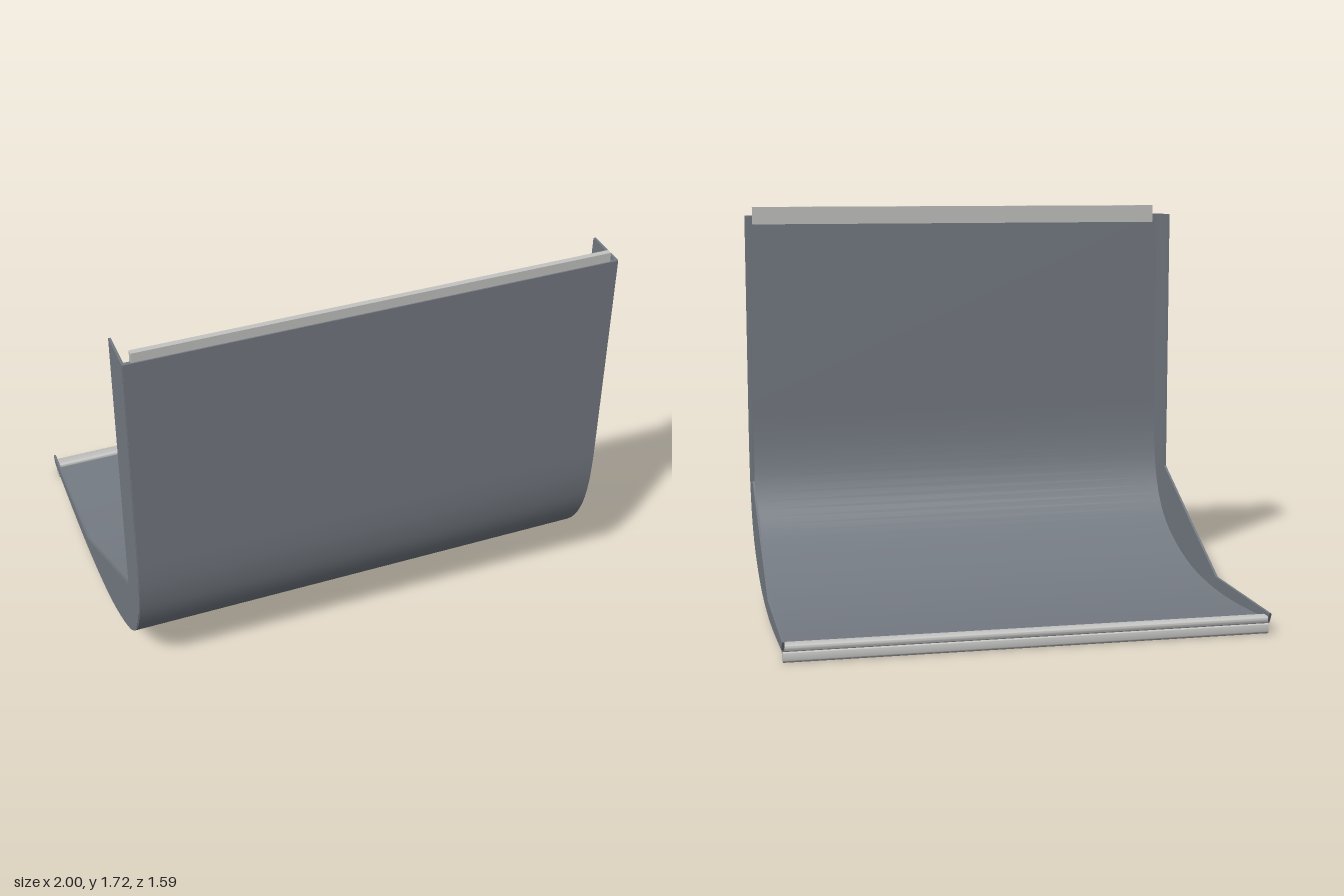
import * as THREE from 'three';
import { toCreasedNormals } from 'three/addons/utils/BufferGeometryUtils.js';

const panelGrey = new THREE.MeshStandardMaterial({ color: 0x757b83 });
panelGrey.name = 'panelGrey';
const trimGrey = new THREE.MeshStandardMaterial({ color: 0xc4c5c3 });
trimGrey.name = 'trimGrey';

// Extrudes a side profile of [z, y] points across x, from x0 to x1
function slab(name, points, x0, x1, material) {
  const shape = new THREE.Shape(points.map(([z, y]) => new THREE.Vector2(-z, y)));
  let geometry = new THREE.ExtrudeGeometry(shape, { depth: x1 - x0, bevelEnabled: false });
  geometry.rotateY(Math.PI / 2).translate(x0, 0, 0);
  geometry = toCreasedNormals(geometry, 0.6);
  const mesh = new THREE.Mesh(geometry, material);
  mesh.name = name;
  return mesh;
}

// Rectangle in the z-y plane with rounded corners
function roundedProfile(z0, z1, y0, y1, r) {
  const points = [];
  const corners = [[z1 - r, y1 - r], [z0 + r, y1 - r], [z0 + r, y0 + r], [z1 - r, y0 + r]];
  corners.forEach(([z, y], i) => {
    for (let k = 0; k <= 5; k++) {
      const a = (i + k / 5) * Math.PI / 2;
      points.push([z + r * Math.cos(a), y + r * Math.sin(a)]);
    }
  });
  return points;
}

export function createModel() {
  const group = new THREE.Group();
  group.name = 'curvedPanel';

  // Outer curve of the bent sheet, from the upright down and back
  const bend = new THREE.CatmullRomCurve3([
    [0.795, 0.8], [0.794, 0.68], [0.784, 0.55], [0.755, 0.42], [0.692, 0.295], [0.59, 0.195],
    [0.4, 0.105], [0.2, 0.052], [0, 0.027], [-0.2, 0.018], [-0.4, 0.022], [-0.6, 0.034], [-0.777, 0.046],
  ].map(([z, y]) => new THREE.Vector3(0, y, z)));
  const steps = 40;
  const outer = [[0.795, 1.68]];
  const offset = (t, d) => {
    const p = bend.getPoint(t), v = bend.getTangent(t);
    return [p.z + v.y * d, p.y - v.z * d];
  };
  const inner = [[0.779, 1.68]], middle = [[0.789, 1.68]];
  for (let i = 0; i <= steps; i++) {
    outer.push(offset(i / steps, 0));
    middle.push(offset(i / steps, 0.006));
    inner.push(offset(i / steps, 0.016));
  }
  group.add(slab('bentSheet', [...outer, ...inner.reverse()], -0.998, 0.998, panelGrey));

  // Side flanges following the bend, with a cut-back inner edge
  const flange = [...middle, [-0.795, 0.09], [-0.15, 0.09], [0.61, 0.465], [0.61, 1.68]];
  for (const side of [-1, 1]) {
    const x = side * 0.995;
    group.add(slab(side > 0 ? 'leftFlange' : 'rightFlange', flange, x - 0.005, x + 0.005, panelGrey));
  }

  // Strip along the top edge, standing behind the sheet
  group.add(slab('topStrip', [[0.767, 1.64], [0.79, 1.64], [0.79, 1.72], [0.767, 1.72]], -0.965, 0.965, trimGrey));

  // Rear edge trim: rounded lip above the sheet and rail below it
  group.add(slab('rearLip', roundedProfile(-0.786, -0.73, 0.046, 0.076, 0.012), -0.989, 0.989, trimGrey));
  group.add(slab('rearRail', roundedProfile(-0.777, -0.725, 0, 0.046, 0.012), -0.995, 0.995, trimGrey));

  return group;
}
